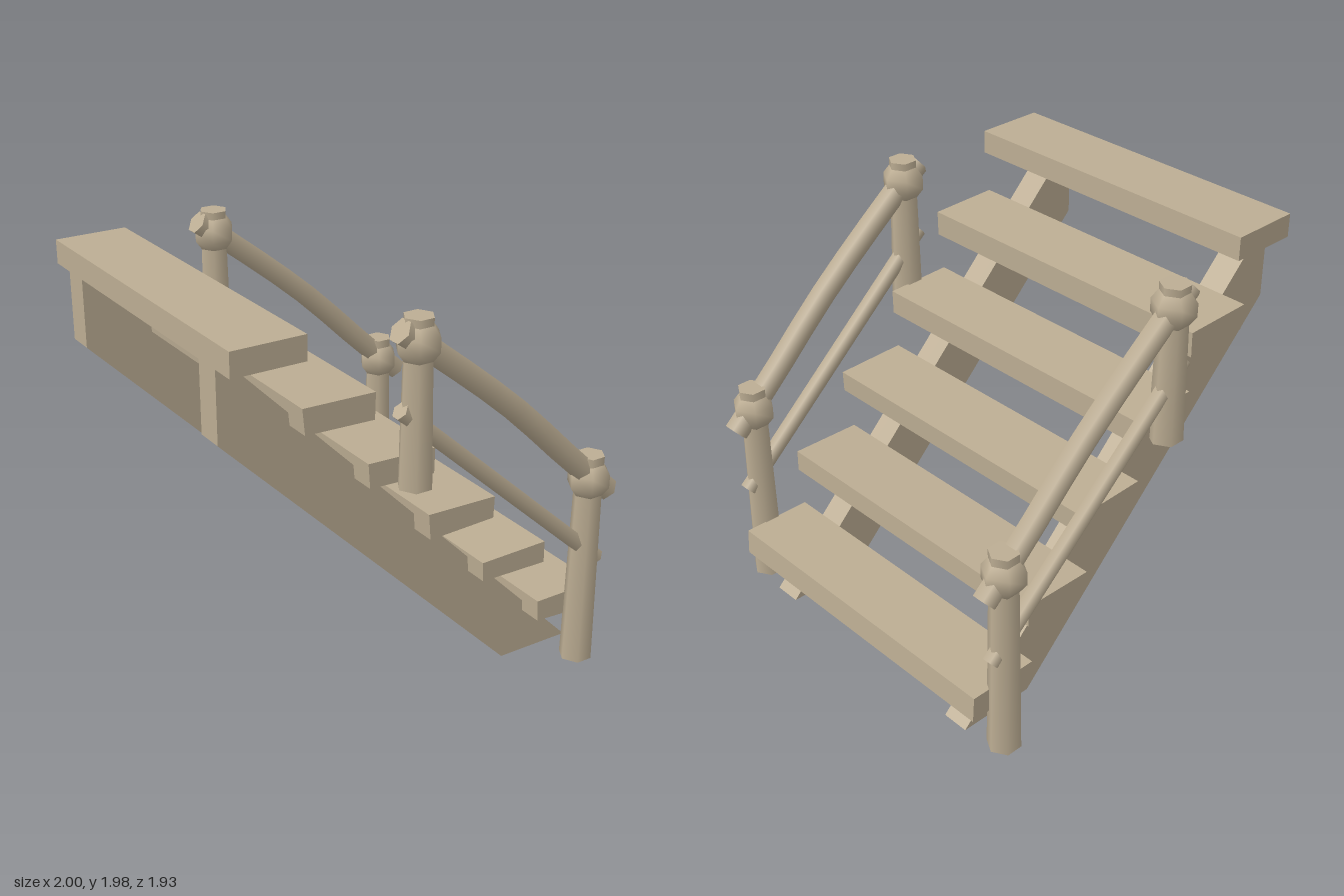
import * as THREE from 'three';

const wood = new THREE.MeshStandardMaterial({ color: 0xbcad93 });
wood.name = 'weathered wood';

function add(parent, name, geometry, x = 0, y = 0, z = 0) {
  const mesh = new THREE.Mesh(geometry, wood);
  mesh.name = name;
  mesh.position.set(x, y, z);
  parent.add(mesh);
  return mesh;
}

// Plank with an x/y outline, running from z0 to z1
function plank(parent, name, outline, z0, z1) {
  const shape = new THREE.Shape(outline.map(([x, y]) => new THREE.Vector2(x, y)));
  const geometry = new THREE.ExtrudeGeometry(shape, { depth: z1 - z0, bevelEnabled: false });
  return add(parent, name, geometry, 0, 0, z0);
}

// Six-sided post with a rounded knob and a short collar on top
function post(parent, name, x, z, bottom, knobY, topY) {
  const group = new THREE.Group();
  group.name = name;
  group.position.set(x, 0, z);
  parent.add(group);
  const prism = (part, rTop, rBottom, y0, y1) =>
    add(group, part, new THREE.CylinderGeometry(rTop, rBottom, y1 - y0, 6).rotateY(Math.PI / 6), 0, (y0 + y1) / 2, 0);
  prism('shaft', 0.068, 0.081, bottom, knobY);
  add(group, 'knob', new THREE.SphereGeometry(0.107, 6, 5), 0, knobY, 0);
  prism('collar', 0.07, 0.066, knobY, topY);
}

// Six-sided pole along a path, closed at both ends
function pole(parent, name, path, radius, segments) {
  const points = path.map(([x, y, z]) => new THREE.Vector3(x, y, z));
  const curve = new THREE.CatmullRomCurve3(points);
  add(parent, name, new THREE.TubeGeometry(curve, segments, radius, 6));
  for (const [t, sign] of [[0, -1], [1, 1]]) {
    const end = curve.getPoint(t);
    const cap = add(parent, name + 'End', new THREE.CircleGeometry(radius, 6), end.x, end.y, end.z);
    cap.lookAt(end.clone().addScaledVector(curve.getTangent(t), sign));
  }
}

export function createModel() {
  const model = new THREE.Group();
  model.name = 'staircase';

  // Treads: slightly crooked ends, uneven lengths
  const treads = [
    [[[-1, 1.975], [-0.65, 1.975], [-0.65, 1.86], [-1, 1.86]], -0.81, 0.835],
    [[[-0.667, 1.652], [-0.312, 1.645], [-0.315, 1.52], [-0.655, 1.53]], -0.85, 0.82],
    [[[-0.345, 1.322], [0, 1.312], [-0.002, 1.19], [-0.335, 1.203]], -0.83, 0.82],
    [[[-0.022, 0.99], [0.342, 0.982], [0.338, 0.875], [-0.01, 0.862]], -0.835, 0.82],
    [[[0.295, 0.648], [0.658, 0.655], [0.66, 0.545], [0.302, 0.55]], -0.835, 0.815],
    [[[0.64, 0.333], [0.992, 0.335], [1, 0.205], [0.645, 0.225]], -0.84, 0.815],
  ];
  treads.forEach(([outline, z0, z1], i) => plank(model, 'tread' + (i + 1), outline, z0, z1));

  for (const [side, s] of [['left', 1], ['right', -1]]) {
    // Sloping stringer under the treads
    const middle = s * 0.63;
    plank(model, side + 'Stringer',
      [[-0.99, 1.52], [0.53, 0], [0.92, 0], [-0.93, 1.86], [-0.99, 1.86]], middle - 0.068, middle + 0.068);

    // Railing
    const z = s * 0.875;
    const railing = new THREE.Group();
    railing.name = side + 'Railing';
    model.add(railing);
    post(railing, 'lowerPost', 0.847, z, 0, 0.965, 1.087);
    post(railing, 'upperPost', -0.143, z, 1.19, 1.85, 1.965);
    pole(railing, 'handrail',
      [[-0.235, 1.915, z], [-0.06, 1.785, z], [0.37, 1.435, z], [0.76, 1.06, z], [0.96, 0.88, z]], 0.06, 8);
    pole(railing, 'lowerRail', [[-0.228, 1.56, z], [0.927, 0.525, z]], 0.042, 2);
  }
  return model;
}
